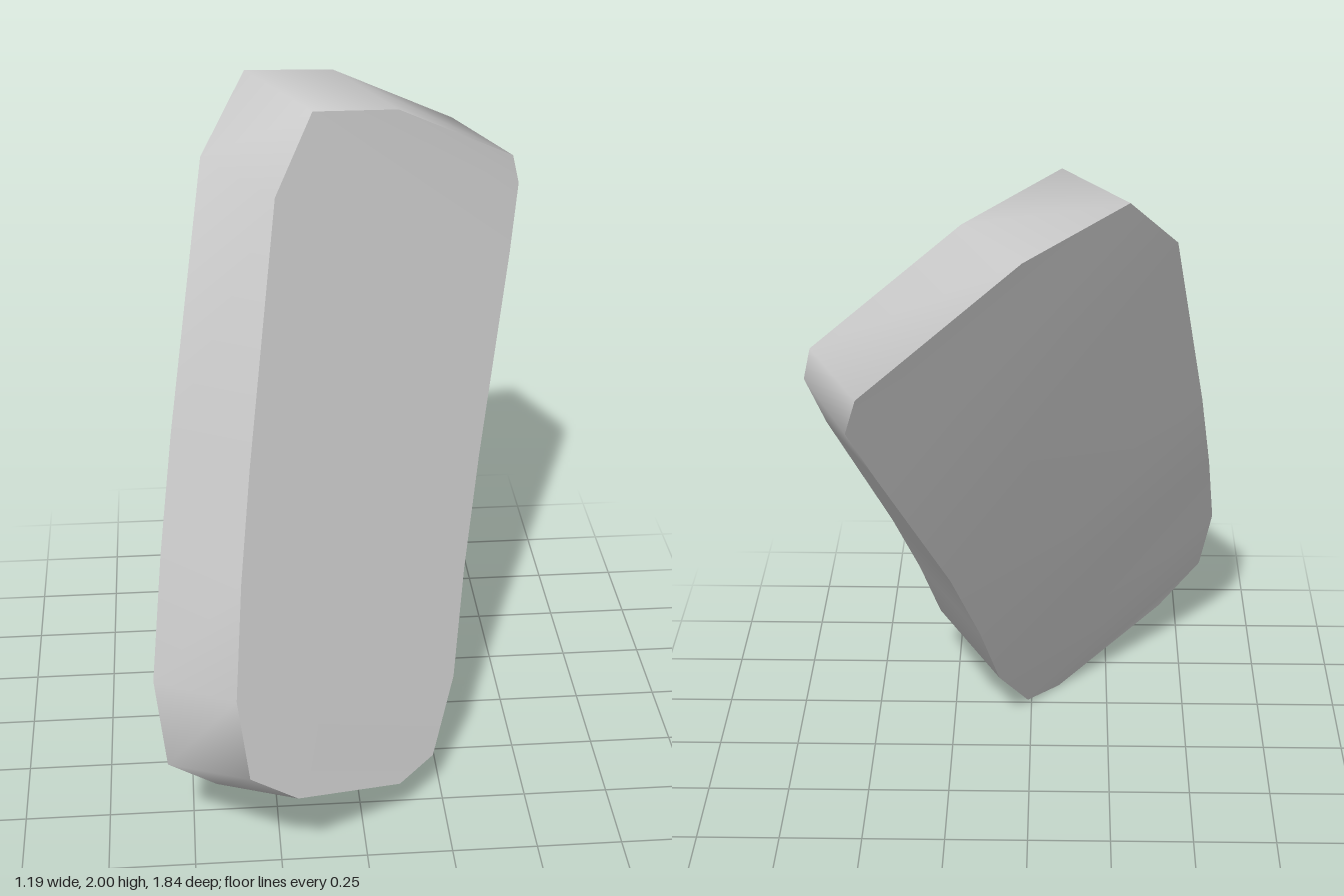
import * as THREE from 'three';
import { toCreasedNormals } from 'three/addons/utils/BufferGeometryUtils.js';

// Cross rows of the slab from top to bottom:
// [left point, right point, thickness offset left, thickness offset right]
const ROWS = [
  [[0.18, 1.90, -0.32], [0.57, 1.65, -0.58], [-0.17, 0.02, -0.33], [-0.15, 0.01, -0.34]],
  [[-0.09, 1.98, -0.09], [0.59, 1.56, -0.575], [-0.18, 0.02, -0.33], [-0.14, 0, -0.33]],
  [[-0.21, 1.805, 0.12], [0.55, 1.375, -0.455], [-0.20, 0.005, -0.33], [-0.16, -0.005, -0.325]],
  [[-0.31, 1.17, 0.525], [0.415, 0.865, -0.07], [-0.215, -0.04, -0.30], [-0.19, -0.04, -0.30]],
  [[-0.345, 0.90, 0.68], [0.35, 0.585, 0.13], [-0.222, -0.07, -0.285], [-0.20, -0.075, -0.28]],
  [[-0.37, 0.63, 0.85], [0.30, 0.315, 0.315], [-0.23, -0.10, -0.265], [-0.20, -0.10, -0.25]],
  [[-0.34, 0.42, 0.92], [0.222, 0.14, 0.47], [-0.228, -0.12, -0.25], [-0.21, -0.12, -0.235]],
  [[-0.205, 0.29, 0.845], [0.11, 0.13, 0.59], [-0.225, -0.12, -0.245], [-0.20, -0.13, -0.235]],
];

function slabGeometry(rows) {
  const n = rows.length;
  const positions = [];
  const index = [];
  const add = (p, o) => positions.push(p[0] + o[0], p[1] + o[1], p[2] + o[2]);
  const quad = (a, b, c, d) => index.push(a, b, c, a, c, d);

  // Four points per row: front left, front right, back left, back right
  for (const [l, r, ol, or] of rows) {
    add(l, [0, 0, 0]);
    add(r, [0, 0, 0]);
    add(l, ol);
    add(r, or);
  }

  // Broad front and back faces
  for (let i = 0; i < n - 1; i++) {
    const a = i * 4, b = a + 4;
    quad(a, b, b + 1, a + 1);
    quad(a + 2, a + 3, b + 3, b + 2);
  }

  // Rim: down the left side and up the right side
  const loop = [];
  for (let i = 0; i < n; i++) loop.push(i * 4);
  for (let i = n - 1; i >= 0; i--) loop.push(i * 4 + 1);
  loop.forEach((a, i) => {
    const b = loop[(i + 1) % loop.length];
    quad(a, a + 2, b + 2, b);
  });

  const geometry = new THREE.BufferGeometry();
  geometry.setAttribute('position', new THREE.Float32BufferAttribute(positions, 3));
  geometry.setIndex(index);
  return toCreasedNormals(geometry, 1.1);
}

export function createModel() {
  const group = new THREE.Group();
  const slab = new THREE.Mesh(
    slabGeometry(ROWS),
    new THREE.MeshStandardMaterial({ color: 0xcccccc })
  );
  slab.name = 'bentSlab';
  group.add(slab);
  return group;
}
